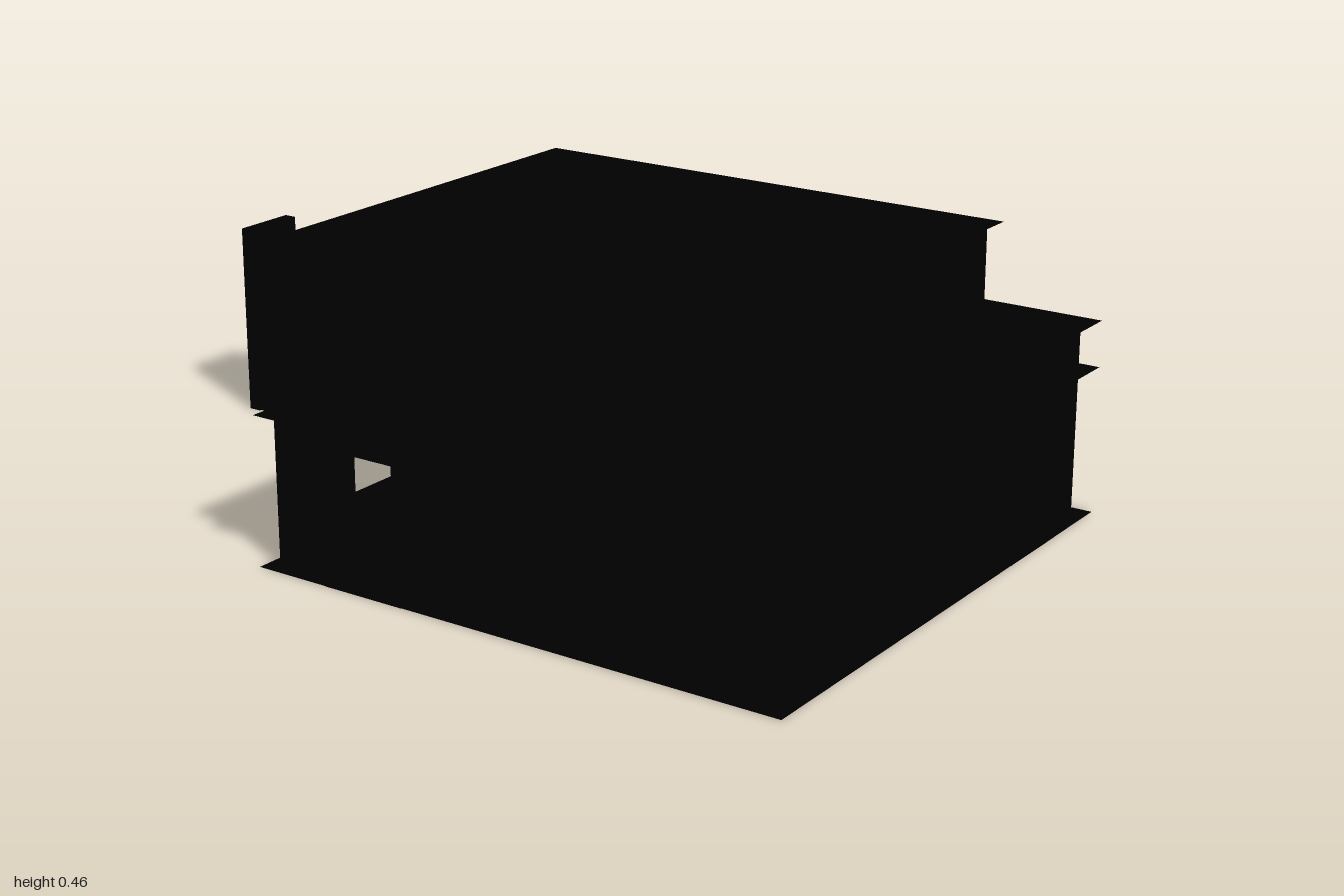
import * as THREE from 'three';

export function createModel() {
  const model = new THREE.Group();
  const black = new THREE.MeshStandardMaterial({ color: 0x000000, side: THREE.DoubleSide });
  black.name = 'matte black';
  const T = 0.02; // wall thickness

  function add(name, geometry, parent = model) {
    const mesh = new THREE.Mesh(geometry, black);
    mesh.name = name;
    parent.add(mesh);
    return mesh;
  }

  // Box given by its limits
  function box(name, x0, x1, y0, y1, z0, z1) {
    const m = add(name, new THREE.BoxGeometry(x1 - x0, y1 - y0, z1 - z0));
    m.position.set((x0 + x1) / 2, (y0 + y1) / 2, (z0 + z1) / 2);
    return m;
  }

  // Flat sheet from a plan outline of [x, z] points
  function sheet(name, plan, y) {
    const shape = new THREE.Shape(plan.map(([x, z]) => new THREE.Vector2(x, -z)));
    const m = add(name, new THREE.ShapeGeometry(shape).rotateX(-Math.PI / 2));
    m.position.y = y;
  }

  // Wall along x or z with rectangular openings [a0, a1, y0, y1];
  // "at" is its lower face across the wall
  function wall(name, axis, a0, a1, at, height, openings = []) {
    const rect = (C, l, r, b, t) => {
      const p = new C();
      p.moveTo(l, b); p.lineTo(r, b); p.lineTo(r, t); p.lineTo(l, t); p.closePath();
      return p;
    };
    const shape = rect(THREE.Shape, a0, a1, 0, height);
    openings.forEach((o) => shape.holes.push(rect(THREE.Path, ...o)));
    const g = new THREE.ExtrudeGeometry(shape, { depth: T, bevelEnabled: false });
    if (axis === 'x') g.translate(0, 0, at);
    else g.rotateY(-Math.PI / 2).translate(at + T, 0, 0);
    add(name, g);
  }

  // Door frame around an opening centred on zero, standing proud of the wall
  function doorFrame(name, turn) {
    const frame = new THREE.Group();
    frame.name = name;
    const parts = [
      [0.015, 0.315, -0.0925, 0.1575],
      [0.015, 0.315, 0.0925, 0.1575],
      [0.2, 0.015, 0, 0.3075],
      [0.2, 0.012, 0, 0.006],
    ];
    parts.forEach(([w, h, x, y]) => {
      add('doorFrameBar', new THREE.BoxGeometry(w, h, 0.045), frame).position.set(x, y, 0.977);
    });
    frame.rotation.y = turn;
    model.add(frame);
  }

  // Plans of the two blocks
  const rear = [[-1, -1], [0.39, -1], [0.39, -0.28], [-0.38, -0.28], [-0.38, 0.25], [-1, 0.25]];
  const front = [[-0.28, -0.28], [1, -0.28], [1, 1], [-0.28, 1]];
  sheet('rearFloor', rear, 0);
  sheet('frontFloor', front, 0.001);
  sheet('rearRoof', rear, 0.41);
  sheet('frontRoof', front, 0.44);
  sheet('frontCeiling', front, 0.335);

  // Rear block walls
  wall('rearBackWall', 'x', -0.97, 0.36, -0.965, 0.41);
  wall('rearSideWall', 'z', -0.965, 0.22, -0.97, 0.41);
  wall('rearEndWall', 'z', -0.965, -0.29, 0.34, 0.41);
  wall('rearInnerWall', 'x', -0.4, 0.36, -0.31, 0.41);
  wall('wingFrontWall', 'x', -0.97, -0.4, 0.2, 0.41);
  wall('wingInnerWall', 'z', -0.31, 0.22, -0.42, 0.41);

  // Upstand crossing the rear roof, and the tall panel on the wing
  box('roofUpstand', -0.6, 0.36, 0.3, 0.44, -0.308, -0.285);
  box('wingSidePanel', -1, -0.97, 0, 0.455, 0.1, 0.255);

  // Cladding battens on the rear block
  for (let i = 0; i <= 6; i++) {
    const x = -0.965 + i * 0.22;
    box('backBatten', x - 0.005, x + 0.005, 0, 0.41, -0.97, -0.964);
  }
  for (let i = 0; i <= 4; i++) {
    const z = -0.96 + i * 0.24;
    box('sideBatten', -0.975, -0.969, 0, 0.41, z - 0.005, z + 0.005);
  }

  // Front block walls, with a covered porch cut into the outer corner
  const door = [-0.085, 0.085, 0.012, 0.3];
  const strip = [0.39, 0.94, 0.22, 0.335];
  wall('frontBackWall', 'x', -0.25, 0.965, -0.25, 0.44, [strip]);
  wall('frontInnerWall', 'z', -0.25, 0.97, -0.25, 0.44, [[0.3, 0.75, 0.09, 0.335]]);
  wall('frontEntryWall', 'x', -0.25, 0.31, 0.95, 0.44, [door]);
  wall('sideEntryWall', 'z', -0.25, 0.31, 0.945, 0.44, [door]);
  wall('porchBackWall', 'x', 0.31, 0.965, 0.29, 0.44, [strip]);
  wall('porchSideWall', 'z', 0.31, 0.97, 0.29, 0.44);
  doorFrame('frontDoorFrame', 0);
  doorFrame('sideDoorFrame', Math.PI / 2);

  // Fascia over the porch
  box('porchFrontFascia', 0.31, 0.965, 0.335, 0.44, 0.95, 0.97);
  box('porchSideFascia', 0.945, 0.965, 0.335, 0.44, 0.31, 0.97);

  // Low plinth round the porch and a vent in it
  box('porchBackPlinth', 0.31, 0.945, 0, 0.09, 0.31, 0.33);
  box('porchSidePlinth', 0.31, 0.33, 0, 0.09, 0.33, 0.95);
  box('porchVent', 0.575, 0.67, 0.02, 0.05, 0.33, 0.336);

  return model;
}
